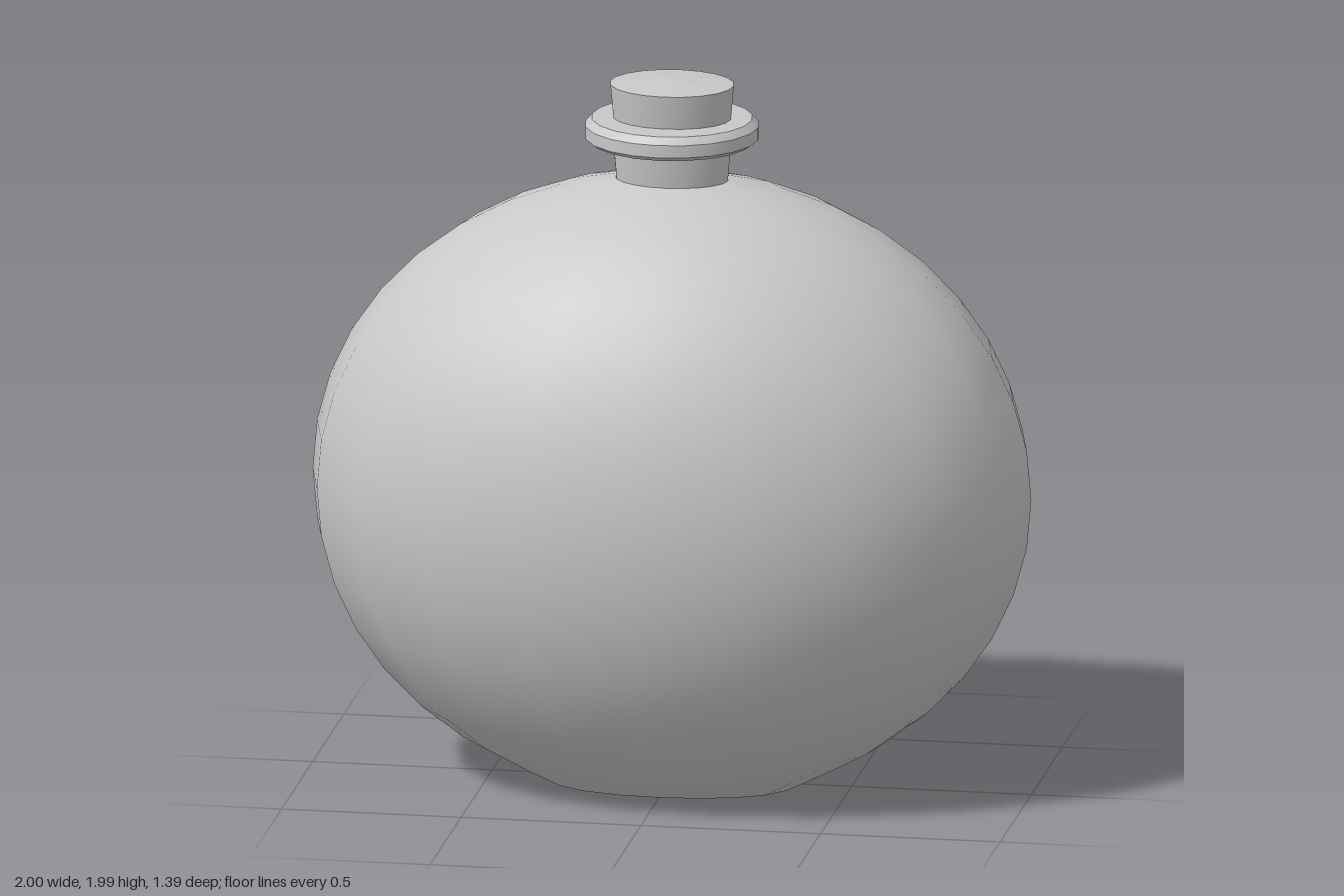
import * as THREE from 'three';

const SIDES = 20;

// Smooth skin through elliptical rings [radiusX, radiusZ, y, liftAtZEnds], listed bottom to top
function loft(rings) {
  const positions = [], index = [];
  rings.forEach(([rx, rz, y, lift = 0], i) => {
    for (let j = 0; j < SIDES; j++) {
      const a = (j / SIDES) * Math.PI * 2;
      positions.push(rx * Math.cos(a), y + lift * Math.sin(a) ** 2, rz * Math.sin(a));
      if (i === 0) continue;
      const k = (j + 1) % SIDES, lo = (i - 1) * SIDES, hi = i * SIDES;
      index.push(lo + j, hi + j, lo + k, lo + k, hi + j, hi + k);
    }
  });
  const geometry = new THREE.BufferGeometry();
  geometry.setAttribute('position', new THREE.Float32BufferAttribute(positions, 3));
  geometry.setIndex(index);
  geometry.computeVertexNormals();
  return geometry;
}

export function createModel() {
  const model = new THREE.Group();
  model.name = 'flask';
  const grey = new THREE.MeshStandardMaterial({ color: 0xc8c8c8 });
  grey.name = 'plain grey';

  const add = (name, rings) => {
    const mesh = new THREE.Mesh(loft(rings), grey);
    mesh.name = name;
    model.add(mesh);
  };
  // Each pair of neighbouring rings becomes its own band, so edges stay sharp
  const addSharp = (name, rings) => {
    const part = new THREE.Group();
    part.name = name;
    for (let i = 1; i < rings.length; i++) {
      const mesh = new THREE.Mesh(loft([rings[i - 1], rings[i]]), grey);
      mesh.name = name + 'Band' + i;
      part.add(mesh);
    }
    model.add(part);
  };

  // Flattened round body, cut off at the foot and at the neck
  const body = [[0.35, 0.26, 0, 0.015]];
  for (let deg = -63; deg <= 81; deg += 9) {
    const t = THREE.MathUtils.degToRad(deg);
    body.push([Math.cos(t), 0.695 * Math.cos(t), 0.837 + 0.88 * Math.sin(t)]);
  }
  add('body', body);

  // Stepped hollow under the foot
  addSharp('footHollow', [
    [0, 0, 0.09], [0.125, 0.095, 0.09], [0.145, 0.11, 0.05],
    [0.27, 0.2, 0.05], [0.29, 0.215, 0.01], [0.35, 0.26, 0, 0.015],
  ]);

  // Neck flaring slightly upwards
  add('neck', [[0.155, 0.108, 1.7], [0.165, 0.125, 1.82]]);

  // Bevelled lip
  addSharp('lip', [
    [0.15, 0.11, 1.812], [0.222, 0.212, 1.812], [0.24, 0.23, 1.825],
    [0.24, 0.23, 1.86], [0.222, 0.212, 1.88], [0.15, 0.11, 1.88],
  ]);

  // Stopper with a slightly domed top
  addSharp('stopper', [[0.163, 0.128, 1.87], [0.172, 0.145, 1.975], [0, 0, 1.987]]);

  return model;
}
